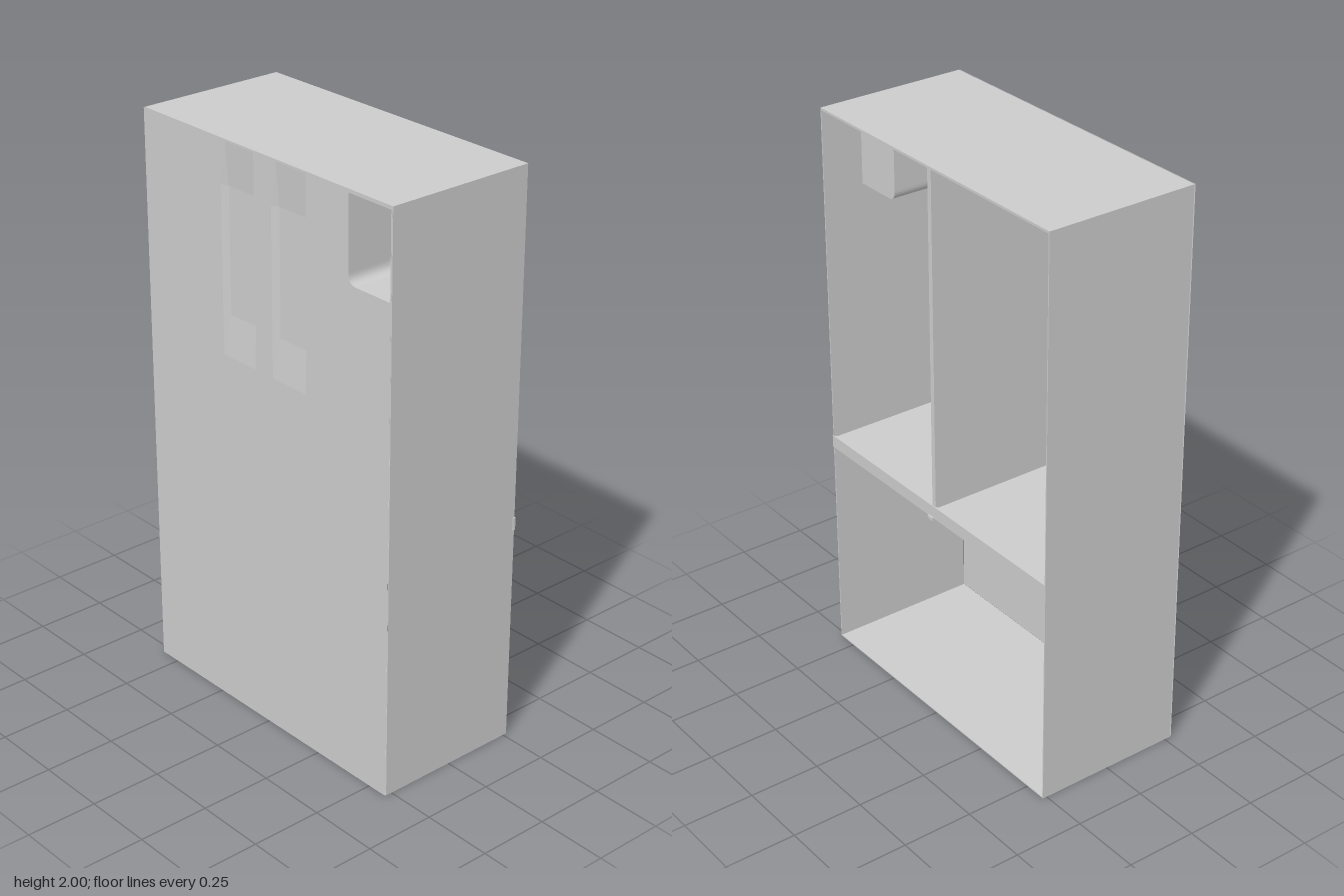
import * as THREE from 'three';

const L = -0.58, R = 0.575, H = 2, BACK = -0.265, FRONT = 0.277;

export function createModel() {
  const group = new THREE.Group();
  const mat = new THREE.MeshStandardMaterial({ color: 0xcccccc, side: THREE.DoubleSide });

  const add = (name, geometry, x = 0, y = 0, z = 0) => {
    const mesh = new THREE.Mesh(geometry, mat);
    mesh.name = name;
    mesh.position.set(x, y, z);
    group.add(mesh);
    return mesh;
  };
  // Box given by its minimum and maximum corners
  const box = (name, x0, x1, y0, y1, z0, z1) =>
    add(name, new THREE.BoxGeometry(x1 - x0, y1 - y0, z1 - z0),
      (x0 + x1) / 2, (y0 + y1) / 2, (z0 + z1) / 2);

  // Thin shell, open at the back
  const T = 0.004;
  box('leftWall', R - T, R, 0, H, BACK, FRONT - T);
  box('rightWall', L, L + T, 0, H, BACK, FRONT - T);
  box('floor', L, R, 0, T, BACK, FRONT - T);
  box('roof', L, R, H - 0.008, H, BACK, FRONT - T);

  // Corner recess outline, with its inner lower corner rounded
  const n = { x0: 0.39, x1: R - T, y0: 1.705, y1: 1.99, r: 0.035 };
  const notch = (PathType) => {
    const p = new PathType();
    p.moveTo(n.x1, n.y1);
    p.lineTo(n.x0, n.y1);
    p.lineTo(n.x0, n.y0 + n.r);
    p.quadraticCurveTo(n.x0, n.y0, n.x0 + n.r, n.y0);
    p.lineTo(n.x1, n.y0);
    p.closePath();
    return p;
  };

  // Front panel with openings for the recess and the two shallow dents
  const dents = [[-0.2, -0.04], [0.04, 0.2]];
  const rect = (PathType, x0, x1, y0, y1) => new PathType([
    [x0, y0], [x1, y0], [x1, y1], [x0, y1]].map(([x, y]) => new THREE.Vector2(x, y)));
  const panel = rect(THREE.Shape, L, R, 0, H);
  panel.holes.push(notch(THREE.Path));
  const dentY = [1.28, 1.995];
  for (const [a, b] of dents) panel.holes.push(rect(THREE.Path, a, b, ...dentY));
  add('frontPanel', new THREE.ShapeGeometry(panel, 8), 0, 0, FRONT);

  // Shallow dents: a 3 x 3 grid whose inner corners sink inward
  for (const [a, b] of dents) {
    const xs = [a, a + 0.025, b - 0.005, b];
    const ys = [dentY[1], 1.85, 1.42, dentY[0]];
    const g = new THREE.PlaneGeometry(1, 1, 3, 3);
    const p = g.attributes.position;
    for (let i = 0; i < p.count; i++) {
      const c = i % 4, r = Math.floor(i / 4);
      const inner = c > 0 && c < 3 && r > 0 && r < 3;
      p.setXYZ(i, xs[c], ys[r], inner ? -0.012 : 0);
    }
    const flat = g.toNonIndexed();
    flat.computeVertexNormals();
    add('frontDent', flat, 0, 0, FRONT);
  }

  // Recess lining: swept side surface plus its back plate
  const depth = 0.395;
  const pts = notch(THREE.Path).getPoints(8);
  const lining = new THREE.PlaneGeometry(1, 1, pts.length - 1, 1);
  const lp = lining.attributes.position;
  for (let i = 0; i < lp.count; i++) {
    const q = pts[i % pts.length];
    lp.setXYZ(i, q.x, q.y, i < pts.length ? FRONT : FRONT - depth);
  }
  const liningFlat = lining.toNonIndexed();
  liningFlat.computeVertexNormals();
  add('recessLining', liningFlat);
  add('recessBack', new THREE.ShapeGeometry(notch(THREE.Shape), 8), 0, 0, FRONT - depth);

  // Shelf, its rear edge strip and the upright divider
  box('shelf', L + T, R - T, 0.776, 0.812, BACK + 0.008, FRONT - T);
  box('shelfEdge', -0.58, 0.58, 0.772, 0.816, BACK, BACK + 0.008);
  box('divider', -0.009, 0.009, 0.812, H - 0.008, BACK + 0.003, FRONT - 0.014);

  // Small pull at the rear of the shelf
  box('pullTab', -0.015, 0.01, 0.776, 0.786, -0.281, -0.275);
  box('pullStem', -0.006, 0.002, 0.768, 0.776, -0.277, -0.18);

  // Ring lamps under the roof, one per compartment
  const profile = [[0.05, 0], [0.072, 0], [0.072, -0.025], [0.062, -0.034],
    [0.046, -0.034], [0.042, -0.02], [0, -0.02]].map(([x, y]) => new THREE.Vector2(x, y));
  for (const x of [-0.3, 0.27]) {
    add('ceilingLamp', new THREE.LatheGeometry(profile, 32), x, H - 0.008, 0.015);
  }
  return group;
}
